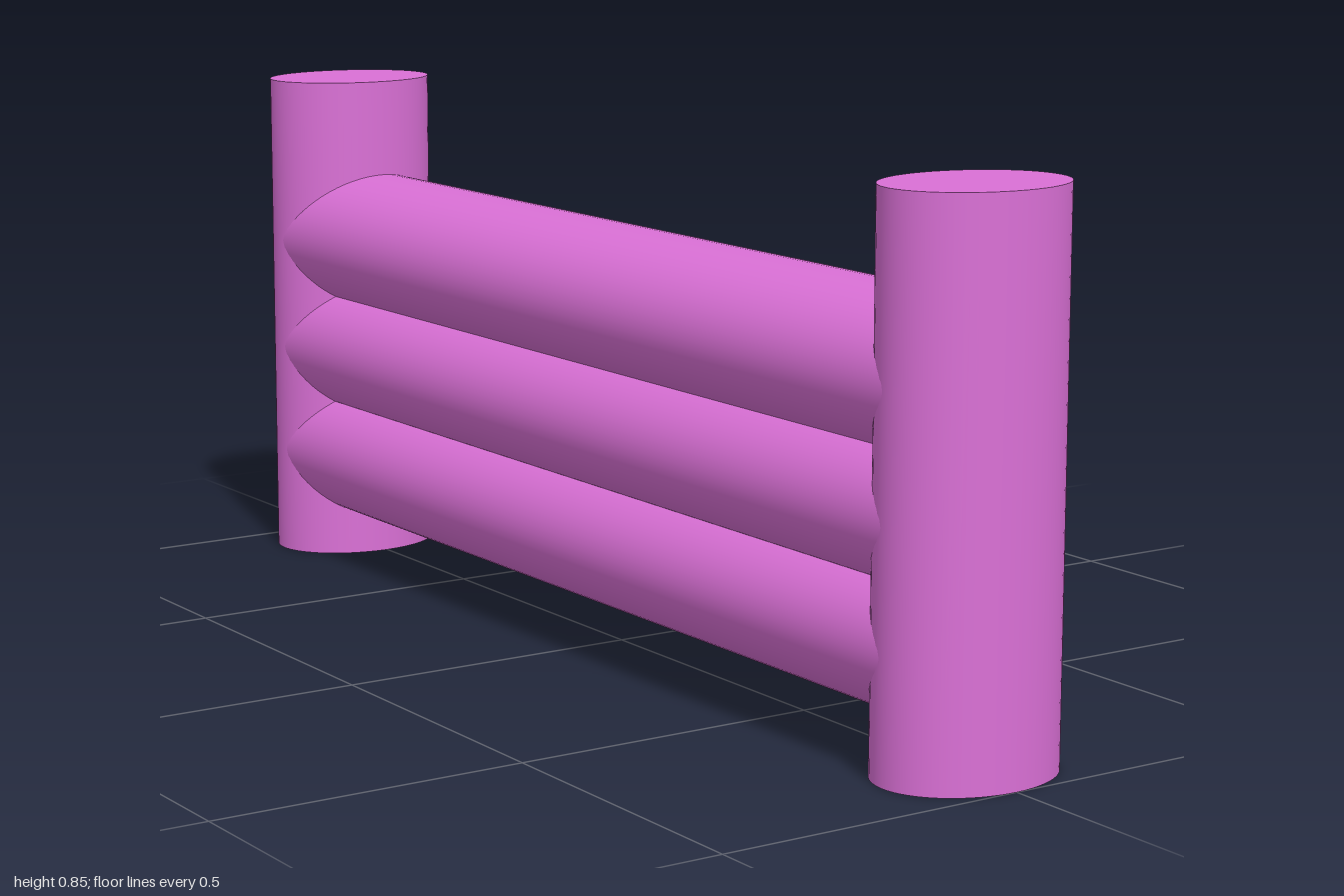
import * as THREE from 'three';

export function createModel() {
  const group = new THREE.Group();
  const material = new THREE.MeshStandardMaterial({ color: 0xda70d6 });

  // Oval posts standing at both ends
  const height = 0.845;
  const postGeometry = new THREE.CylinderGeometry(1, 1, height, 64);
  postGeometry.scale(0.147, 1, 0.116);
  for (const [name, side] of [['frontPost', 1], ['backPost', -1]]) {
    const post = new THREE.Mesh(postGeometry, material);
    post.name = name;
    post.position.set(0, height / 2, side * 0.884);
    group.add(post);
  }

  // Oval rails running between the post centres, slightly overlapping each other
  const railGeometry = new THREE.CylinderGeometry(1, 1, 1.768, 64);
  railGeometry.rotateX(Math.PI / 2);
  railGeometry.scale(0.146, 0.118, 1);
  for (const [name, y] of [['lowerRail', 0.184], ['middleRail', 0.371], ['upperRail', 0.562]]) {
    const rail = new THREE.Mesh(railGeometry, material);
    rail.name = name;
    rail.position.y = y;
    group.add(rail);
  }

  return group;
}
